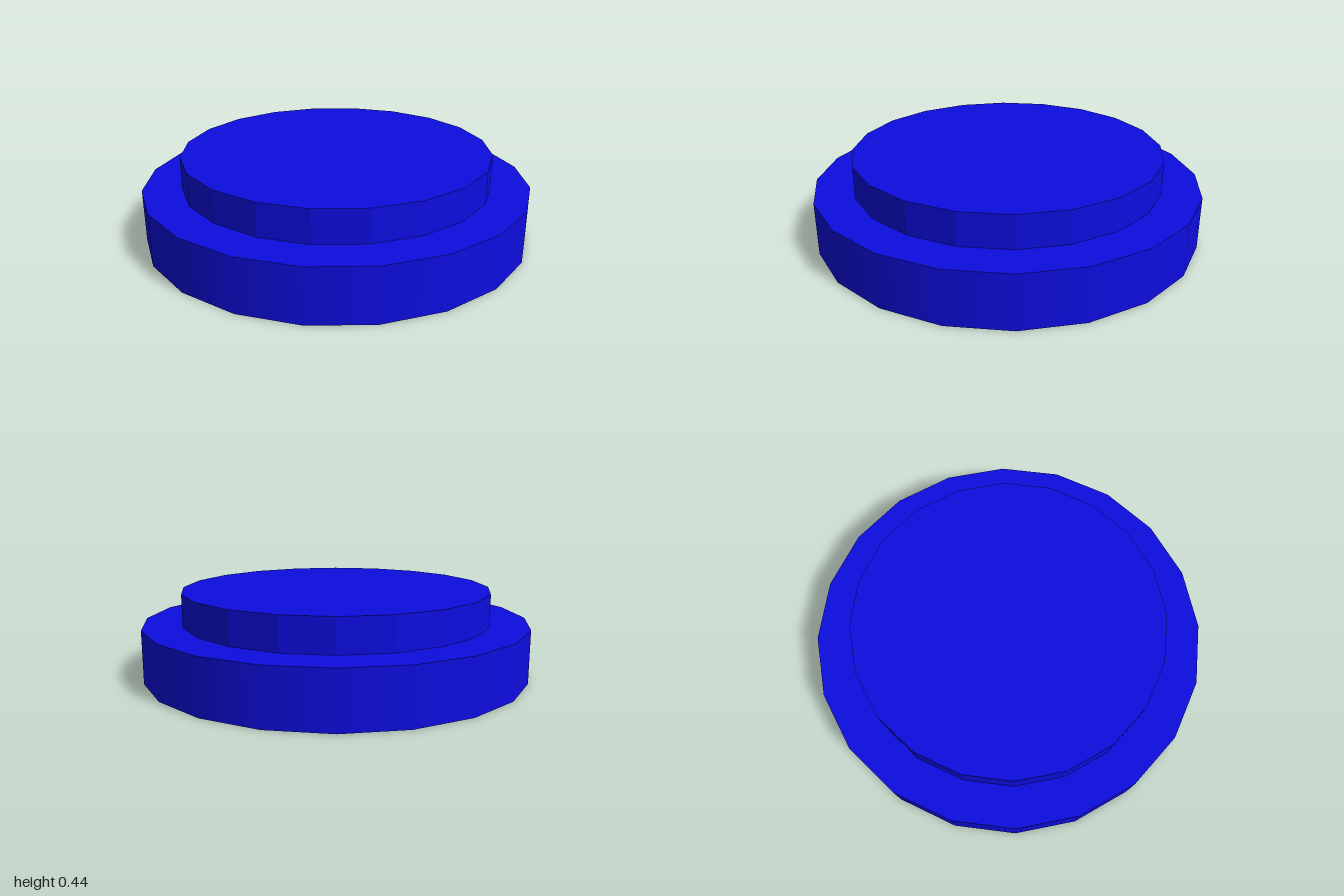
import * as THREE from 'three';

const SIDES = 20;

// One round tier standing on height y
function tier(name, radius, y, height, flatShading) {
  const material = new THREE.MeshStandardMaterial({ color: 0x0d0de0, flatShading });
  const mesh = new THREE.Mesh(new THREE.CylinderGeometry(radius, radius, height, SIDES), material);
  mesh.name = name;
  mesh.position.y = y + height / 2;
  return mesh;
}

export function createModel() {
  const group = new THREE.Group();
  group.name = 'steppedDisc';
  // Wide smooth base with a narrower faceted disc on top
  group.add(tier('base', 1, 0, 0.273, false));
  group.add(tier('topDisc', 0.8, 0.273, 0.166, true));
  return group;
}
